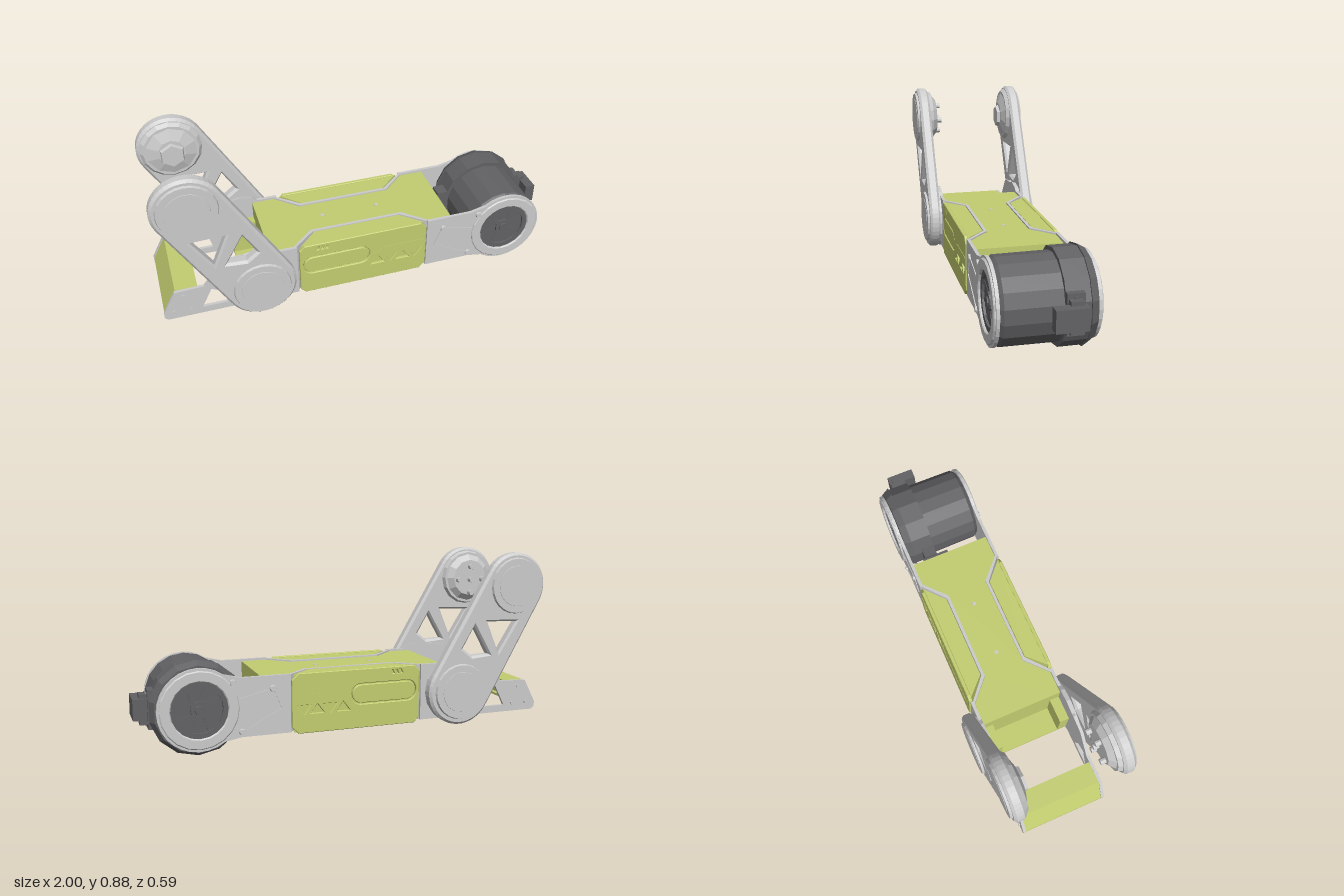
import * as THREE from 'three';

const mat = (color) => new THREE.MeshStandardMaterial({ color, flatShading: true, side: THREE.DoubleSide });

export function createModel() {
  const root = new THREE.Group();
  const grey = mat(0xcccccc), green = mat(0xc3cd70), dark = mat(0x626265);

  const add = (name, geo, m) => {
    const mesh = new THREE.Mesh(geo, m);
    mesh.name = name;
    root.add(mesh);
    return mesh;
  };
  const poly = (pts) => new THREE.Shape(pts.map(([x, y]) => new THREE.Vector2(x, y)));
  // extrude an x-y shape over the band z0..z1, on the side s (+1 front, -1 back)
  const slab = (name, shape, z0, z1, s, m, bevel = 0) => {
    const geo = new THREE.ExtrudeGeometry(shape, {
      depth: z1 - z0 - 2 * bevel, bevelEnabled: bevel > 0, bevelSize: bevel, bevelOffset: -bevel,
      bevelThickness: bevel, bevelSegments: 1, curveSegments: 10,
    });
    geo.translate(0, 0, (s > 0 ? z0 : -z1) + bevel);
    return add(name, geo, m);
  };
  // extrude an x-z outline over the heights y0..y1
  const column = (name, pts, y0, y1, m) => {
    const geo = new THREE.ExtrudeGeometry(poly(pts.map(([x, z]) => [x, -z])), { depth: y1 - y0, bevelEnabled: false });
    geo.rotateX(-Math.PI / 2).translate(0, y0, 0);
    return add(name, geo, m);
  };
  // round part along z; r0 at z0, r1 at z1
  const drum = (name, x, y, z0, z1, r0, r1, m, sides = 16) => {
    const geo = new THREE.CylinderGeometry(r1, r0, Math.abs(z1 - z0), sides);
    geo.rotateX(Math.PI / 2);
    if (z1 < z0) geo.rotateY(Math.PI);
    return add(name, geo.translate(x, y, (z0 + z1) / 2), m);
  };
  const box = (name, x0, x1, y0, y1, z0, z1, m) =>
    add(name, new THREE.BoxGeometry(x1 - x0, y1 - y0, z1 - z0)
      .translate((x0 + x1) / 2, (y0 + y1) / 2, (z0 + z1) / 2), m);
  const ring = (cx, cy, ro, ri) => {
    const s = new THREE.Shape().absarc(cx, cy, ro, 0, Math.PI * 2);
    s.holes.push(new THREE.Path().absarc(cx, cy, ri, 0, Math.PI * 2));
    return s;
  };
  const pill = (x0, x1, y, r) => new THREE.Shape()
    .absarc(x1 - r, y, r, -Math.PI / 2, Math.PI / 2).absarc(x0 + r, y, r, Math.PI / 2, Math.PI * 1.5).closePath();
  // straight bar between two points on a side face
  const bar = (name, [ax, ay], [bx, by], w, z0, z1, s, m) => {
    const l = Math.hypot(bx - ax, by - ay), nx = -(by - ay) / l * w / 2, ny = (bx - ax) / l * w / 2;
    return slab(name, poly([[ax + nx, ay + ny], [ax - nx, ay - ny], [bx - nx, by - ny], [bx + nx, by + ny]]), z0, z1, s, m);
  };

  const top = [-0.83, 0.725], low = [-0.54, 0.22], motor = [0.72, 0.22];

  // two-ended arm outline with strut openings
  const a = Math.atan2(top[1] - low[1], top[0] - low[0]);
  const arm = new THREE.Shape()
    .absarc(...low, 0.165, a + Math.PI / 2, a + Math.PI * 1.5)
    .absarc(...top, 0.16, a - Math.PI / 2, a + Math.PI / 2).closePath();
  arm.holes.push(
    poly([[-0.84, 0.55], [-0.68, 0.555], [-0.745, 0.4]]),
    poly([[-0.61, 0.535], [-0.55, 0.43], [-0.6, 0.39], [-0.69, 0.395]]));

  // rear side plate
  const rearPlate = poly([[-0.355, 0.08], [-0.985, 0.08], [-1, 0.095], [-1, 0.12], [-0.94, 0.235], [-0.8, 0.24],
    [-0.7, 0.36], [-0.62, 0.375], [-0.56, 0.355], [-0.355, 0.355]]);
  rearPlate.holes.push(poly([[-0.82, 0.115], [-0.7, 0.115], [-0.72, 0.19], [-0.77, 0.215]]));

  // motor-end side plate
  const frontPlate = new THREE.Shape();
  frontPlate.moveTo(0.3, 0.355);
  frontPlate.lineTo(0.3, 0.08);
  frontPlate.lineTo(0.53, 0.08);
  frontPlate.absarc(...motor, 0.19, Math.PI * 1.3, Math.PI * 2.7);
  frontPlate.lineTo(0.53, 0.355);
  frontPlate.holes.push(new THREE.Path().absarc(...motor, 0.135, 0, Math.PI * 2));

  // cover skin with pill groove, triangle recesses and vents
  const skin = poly([[-0.345, 0.095], [-0.32, 0.07], [0.265, 0.07], [0.295, 0.1], [0.295, 0.325], [0.265, 0.355],
    [-0.32, 0.355], [-0.345, 0.33]]);
  skin.holes.push(pill(-0.33, 0.005, 0.235, 0.05));
  for (let i = 0; i < 4; i++) {
    const x = 0.045 + i * 0.064, k = i % 2 ? -1 : 1;
    skin.holes.push(poly([[x - 0.034, 0.183 - 0.021 * k], [x + 0.034, 0.183 - 0.021 * k], [x, 0.183 + 0.024 * k]]));
  }
  for (let i = 0; i < 3; i++) {
    const x = -0.26 + i * 0.022;
    skin.holes.push(poly([[x, 0.322], [x + 0.01, 0.322], [x + 0.018, 0.34], [x + 0.008, 0.34]]));
  }

  for (const s of [1, -1]) {
    // side frame: flat ends joined by a part bent inward
    slab('rearSidePlate', rearPlate, 0.203, 0.218, s, grey);
    slab('frontSidePlate', frontPlate, 0.203, 0.218, s, grey);
    column('bentSidePlate', [[-0.37, 0.218], [-0.25, 0.116], [0.19, 0.116], [0.31, 0.218], [0.31, 0.203],
      [0.2, 0.102], [-0.26, 0.102], [-0.37, 0.203]].map(([x, z]) => [x, z * s]), 0.08, 0.352, grey);
    for (const [x, y] of [[-0.95, 0.12], [-0.87, 0.12], [-0.9, 0.205]])
      drum('plateScrew', x, y, s * 0.21, s * 0.224, 0.012, 0.012, grey, 6);

    // side cover
    column('coverBlock', [[-0.335, 0.209], [-0.245, 0.119], [0.185, 0.119], [0.285, 0.209]].map(([x, z]) => [x, z * s]), 0.075, 0.35, green);
    slab('coverSkin', skin, 0.204, 0.222, s, green, 0.003);
    slab('coverPill', pill(-0.325, -0.001, 0.235, 0.044), 0.204, 0.221, s, green, 0.003);
    bar('coverTrimLow', [0.02, 0.225], [0.08, 0.255], 0.006, 0.22, 0.224, s, green);
    bar('coverTrimHigh', [0.08, 0.255], [0.28, 0.255], 0.006, 0.22, 0.224, s, green);

    // motor mount ring, ribs and screws
    slab('mountRing', ring(...motor, 0.18, 0.13), 0.212, 0.226, s, grey, 0.005);
    for (const [p, q] of [[[0.34, 0.2], [0.38, 0.295]], [[0.38, 0.295], [0.56, 0.25]], [[0.34, 0.2], [0.53, 0.1]]])
      bar('plateRib', p, q, 0.007, 0.216, 0.222, s, grey);
    for (const [x, y] of [[0.385, 0.295], [0.53, 0.105], [0.57, 0.335]])
      drum('mountScrew', x, y, s * 0.21, s * 0.228, 0.018, 0.013, grey, 8);

    // arm with round end caps
    drum('pivotSpacer', ...low, s * 0.203, s * 0.23, 0.165, 0.16, grey);
    slab('arm', arm, 0.225, 0.282, s, grey, 0.012);
    for (const c of [top, low]) {
      drum('armCap', ...c, s * 0.278, s * 0.293, 0.138, 0.132, grey, 24);
      drum('armCapCentre', ...c, s * 0.29, s * 0.295, 0.1, 0.098, grey, 24);
    }

    // motor face: rim, hub and curved spokes
    slab('motorRim', ring(...motor, 0.135, 0.108), 0.19, 0.214, s, dark);
    drum('motorHub', ...motor, s * 0.16, s * 0.212, 0.045, 0.04, dark, 12);
    drum('motorHubCap', ...motor, s * 0.21, s * 0.218, 0.022, 0.02, dark, 8);
    for (let i = 0; i < 8; i++) {
      const t = i * Math.PI / 4, u = t + 0.35;
      bar('motorSpoke', [motor[0] + 0.035 * Math.cos(t), motor[1] + 0.035 * Math.sin(t)],
        [motor[0] + 0.115 * Math.cos(u), motor[1] + 0.115 * Math.sin(u)], 0.018, 0.17, 0.205, s, dark);
    }
  }

  // front arm output with four pins, back arm with a blunt cone
  drum('outputFlange', ...top, 0.23, 0.205, 0.145, 0.135, grey);
  drum('outputHub', ...top, 0.21, 0.18, 0.13, 0.095, grey, 12);
  for (let i = 0; i < 4; i++) {
    const t = i * Math.PI / 2;
    drum('outputPin', top[0] + 0.07 * Math.cos(t), top[1] - 0.01 + 0.07 * Math.sin(t), 0.19, 0.155, 0.014, 0.014, grey, 10);
  }
  drum('outputCentrePin', top[0], top[1] - 0.01, 0.19, 0.155, 0.014, 0.014, grey, 10);
  drum('idlerFlange', ...top, -0.23, -0.208, 0.15, 0.13, grey);
  drum('idlerCone', ...top, -0.208, -0.19, 0.12, 0.065, grey, 10);
  drum('idlerBoss', top[0], top[1] - 0.01, -0.19, -0.174, 0.062, 0.056, grey, 6);

  // central body panels, waisted between the side covers
  const waist = (x0, x1) => {
    const half = [[x0, 0.202], [-0.37, 0.202], [-0.262, 0.102], [0.202, 0.102], [0.305, 0.202], [x1, 0.202]];
    return [...half, ...half.map(([x, z]) => [x, -z]).reverse()];
  };
  column('topPanel', waist(-0.48, 0.43), 0.325, 0.345, green);
  column('bottomPanel', waist(-0.6, 0.32), 0.08, 0.095, green);
  box('frontWall', 0.415, 0.43, 0.1, 0.33, -0.202, 0.202, green);
  box('rearWall', -0.48, -0.465, 0.085, 0.33, -0.202, 0.202, green);
  for (const s of [1, -1])
    box('rearFlange', -0.6, -0.48, 0.09, 0.26, s * 0.178 - 0.024, s * 0.178 + 0.024, green);
  for (const x of [-0.17, 0.11])
    for (const y of [0.345, 0.08])
      add('panelScrew', new THREE.CylinderGeometry(0.01, 0.01, 0.004, 10).translate(x, y, 0), grey);

  // folded cross panel at the rear tip
  slab('rearCrossPanel', poly([[-0.83, 0.236], [-0.935, 0.236], [-0.998, 0.115], [-0.998, 0.084], [-0.96, 0.084],
    [-0.96, 0.095], [-0.986, 0.095], [-0.986, 0.113], [-0.928, 0.224], [-0.83, 0.224]]), -0.203, 0.203, 1, green);

  // motor body: shell, collar and back flange
  drum('motorShell', ...motor, -0.06, 0.185, 0.192, 0.19, dark, 18);
  drum('motorFrontLip', ...motor, 0.185, 0.203, 0.19, 0.175, dark, 18);
  drum('motorCollar', ...motor, -0.165, -0.06, 0.212, 0.212, dark, 14);
  drum('motorBackFlange', ...motor, -0.2, -0.165, 0.2, 0.22, dark, 14);

  // cable connectors on both sides of the collar
  box('connectorBase', 0.88, 0.935, 0.13, 0.31, -0.135, -0.06, dark);
  box('connectorBlock', 0.93, 0.97, 0.15, 0.29, -0.12, -0.065, dark);
  box('connectorTab', 0.95, 1.0, 0.175, 0.272, -0.135, 0.005, dark);
  box('innerConnectorBase', 0.47, 0.55, 0.15, 0.29, -0.125, -0.06, dark);
  box('innerConnectorTab', 0.44, 0.475, 0.175, 0.272, -0.135, 0.0, dark);
  for (const y of [0.155, 0.288])
    add('connectorScrew', new THREE.CylinderGeometry(0.013, 0.013, 0.012, 8)
      .rotateZ(Math.PI / 2).translate(0.938, y, -0.098), dark);

  return root;
}
